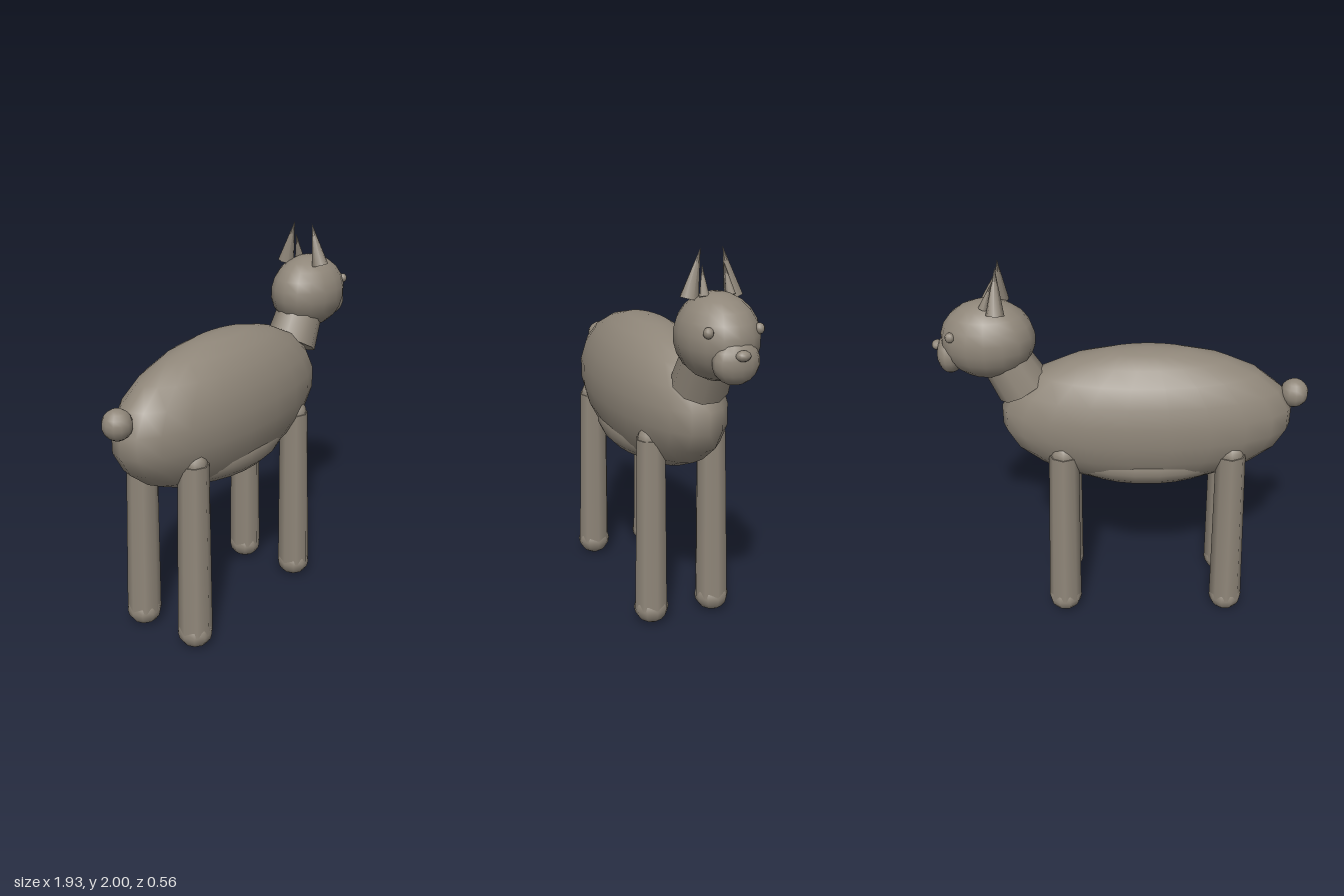
import * as THREE from 'three';

const fur = new THREE.MeshStandardMaterial({ color: 0x8f8679 });
fur.name = 'warm grey';

// Low-poly ellipsoid; the odd ring count leaves a flat band at the equator
function ellipsoid(name, pos, radii, sides = 16, rings = 11) {
  const mesh = new THREE.Mesh(new THREE.SphereGeometry(1, sides, rings), fur);
  mesh.name = name;
  mesh.position.set(...pos);
  mesh.scale.set(...radii);
  return mesh;
}

// Tapered cylinder (or cone) running from one point to another
function limb(name, from, to, r0, r1, sides) {
  const a = new THREE.Vector3(...from);
  const b = new THREE.Vector3(...to);
  const mesh = new THREE.Mesh(new THREE.CylinderGeometry(r1, r0, a.distanceTo(b), sides), fur);
  mesh.name = name;
  mesh.position.copy(a).add(b).multiplyScalar(0.5);
  mesh.quaternion.setFromUnitVectors(new THREE.Vector3(0, 1, 0), b.sub(a).normalize());
  return mesh;
}

// Straight leg splayed slightly outward, with rounded shoulder and foot
function leg(name, endX, endZ) {
  const group = new THREE.Group();
  group.name = name;
  const mid = -0.125;
  const top = [mid + endX * 0.435, 1.02, endZ * 0.168];
  const low = [mid + endX * 0.455, 0.085, endZ * 0.177];
  group.add(
    limb('shank', low, top, 0.09, 0.078, 8),
    ellipsoid('shoulder', top, [0.072, 0.072, 0.072], 8, 8),
    ellipsoid('foot', low, [0.092, 0.085, 0.092], 10, 8)
  );
  return group;
}

export function createModel() {
  const model = new THREE.Group();
  model.name = 'animal';

  // Torso with a slightly bulging belly
  model.add(
    ellipsoid('body', [-0.125, 1.168, 0], [0.768, 0.388, 0.288], 22, 11),
    ellipsoid('belly', [-0.125, 0.95, 0], [0.47, 0.16, 0.25], 22, 11),
    ellipsoid('tail', [-0.893, 1.29, 0], [0.074, 0.077, 0.074], 12, 9)
  );

  // Neck and head
  model.add(
    limb('neck', [0.515, 1.337, 0], [0.62, 1.53, 0], 0.143, 0.125, 10),
    ellipsoid('head', [0.68, 1.608, 0], [0.24, 0.204, 0.192], 16, 11),
    ellipsoid('muzzle', [0.875, 1.53, 0], [0.07, 0.103, 0.115], 14, 9),
    ellipsoid('nose', [0.94, 1.572, 0], [0.028, 0.025, 0.036], 10, 8)
  );

  // Paired features
  for (const side of [1, -1]) {
    const label = side > 0 ? 'left' : 'right';
    model.add(
      ellipsoid(label + 'Eye', [0.85, 1.665, side * 0.125], [0.025, 0.026, 0.024], 10, 8),
      limb(label + 'Ear', [0.622, 1.775, side * 0.112], [0.615, 2, side * 0.055], 0.046, 0, 8),
      limb(label + 'InnerEar', [0.685, 1.79, side * 0.066], [0.632, 1.93, side * 0.055], 0.024, 0, 8),
      leg(label + 'FrontLeg', 1, side),
      leg(label + 'HindLeg', -1, side)
    );
  }
  return model;
}
